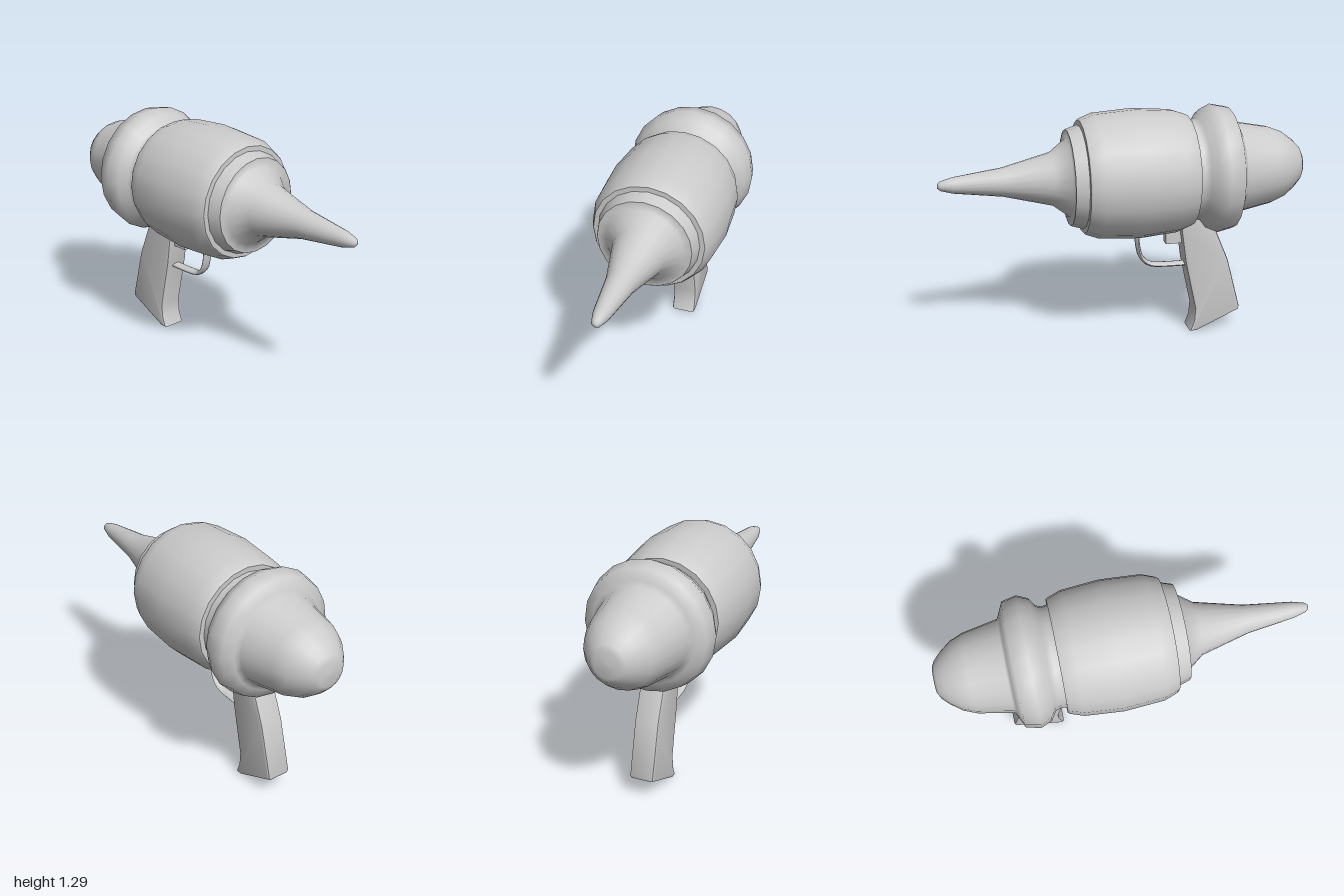
import * as THREE from 'three';
import { toCreasedNormals } from 'three/addons/utils/BufferGeometryUtils.js';

const AXIS_Y = 0.94; // height of the barrel axis
const SIDES = 20;

export function createModel() {
  const group = new THREE.Group();
  const material = new THREE.MeshStandardMaterial({ color: 0xcccccc, side: THREE.DoubleSide });

  const add = (name, geometry) => {
    const mesh = new THREE.Mesh(geometry, material);
    mesh.name = name;
    group.add(mesh);
    return mesh;
  };

  // Turned part along z: profile of [z, radius], from back to front
  const turned = (name, profile) => {
    const points = profile.map(([z, r]) => new THREE.Vector2(r, z));
    const geometry = new THREE.LatheGeometry(points, SIDES).rotateX(Math.PI / 2);
    add(name, geometry).position.y = AXIS_Y;
  };

  // Rear dome, flared ring and neck
  turned('rearDomeAndRing', [
    [-1, 0], [-0.995, 0.07], [-0.98, 0.1], [-0.94, 0.14], [-0.88, 0.185], [-0.81, 0.213],
    [-0.62, 0.25], [-0.605, 0.28], [-0.58, 0.335], [-0.5, 0.352], [-0.44, 0.325],
    [-0.41, 0.28], [-0.38, 0.27], [-0.34, 0.275],
  ]);

  // Main barrel shell with stepped ends
  turned('barrelRearFace', [[-0.35, 0.26], [-0.352, 0.302]]);
  turned('barrel', [
    [-0.352, 0.302], [-0.34, 0.31], [-0.27, 0.335], [-0.06, 0.352], [0.16, 0.338],
    [0.23, 0.312], [0.24, 0.305],
  ]);
  turned('barrelFrontFace', [[0.24, 0.305], [0.242, 0.26]]);

  // Front collar and long tapered nose
  turned('frontCollar', [[0.23, 0.28], [0.25, 0.277], [0.31, 0.258]]);
  turned('nose', [
    [0.308, 0.258], [0.312, 0.21], [0.4, 0.143], [0.66, 0.077], [0.92, 0.043],
    [0.985, 0.025], [1, 0.012], [1, 0],
  ]);

  // Pistol grip: side outline as [z, y], with softened edges
  const outline = [
    [-0.31, 0.72], [-0.31, 0.6], [-0.335, 0.42], [-0.395, 0.14], [-0.39, 0.065],
    [-0.368, 0.004], [-0.405, 0.002], [-0.65, 0.112], [-0.655, 0.13], [-0.58, 0.42],
    [-0.51, 0.59], [-0.45, 0.72],
  ].map(([z, y]) => new THREE.Vector2(z, y));
  const bevel = 0.014;
  const grip = new THREE.ExtrudeGeometry(new THREE.Shape(outline), {
    depth: 0.136 - 2 * bevel, bevelThickness: bevel, bevelSize: bevel,
    bevelOffset: -bevel, bevelSegments: 2,
  });
  grip.translate(0, 0, bevel - 0.068).rotateY(-Math.PI / 2);
  add('grip', toCreasedNormals(grip, 0.7));

  // Trigger block
  add('trigger', new THREE.BoxGeometry(0.06, 0.12, 0.11)).position.set(0, 0.588, -0.285);

  // Trigger guard: a flattened strap curving from barrel to grip
  const path = new THREE.CatmullRomCurve3([
    [0.62, -0.073], [0.53, -0.075], [0.45, -0.098], [0.41, -0.145], [0.4, -0.22], [0.397, -0.35],
  ].map(([y, z]) => new THREE.Vector3(0, y, z)));
  const guard = new THREE.TubeGeometry(path, 20, 0.0125, 10).scale(2.3, 1, 1);
  guard.computeVertexNormals();
  add('triggerGuard', guard);

  return group;
}
